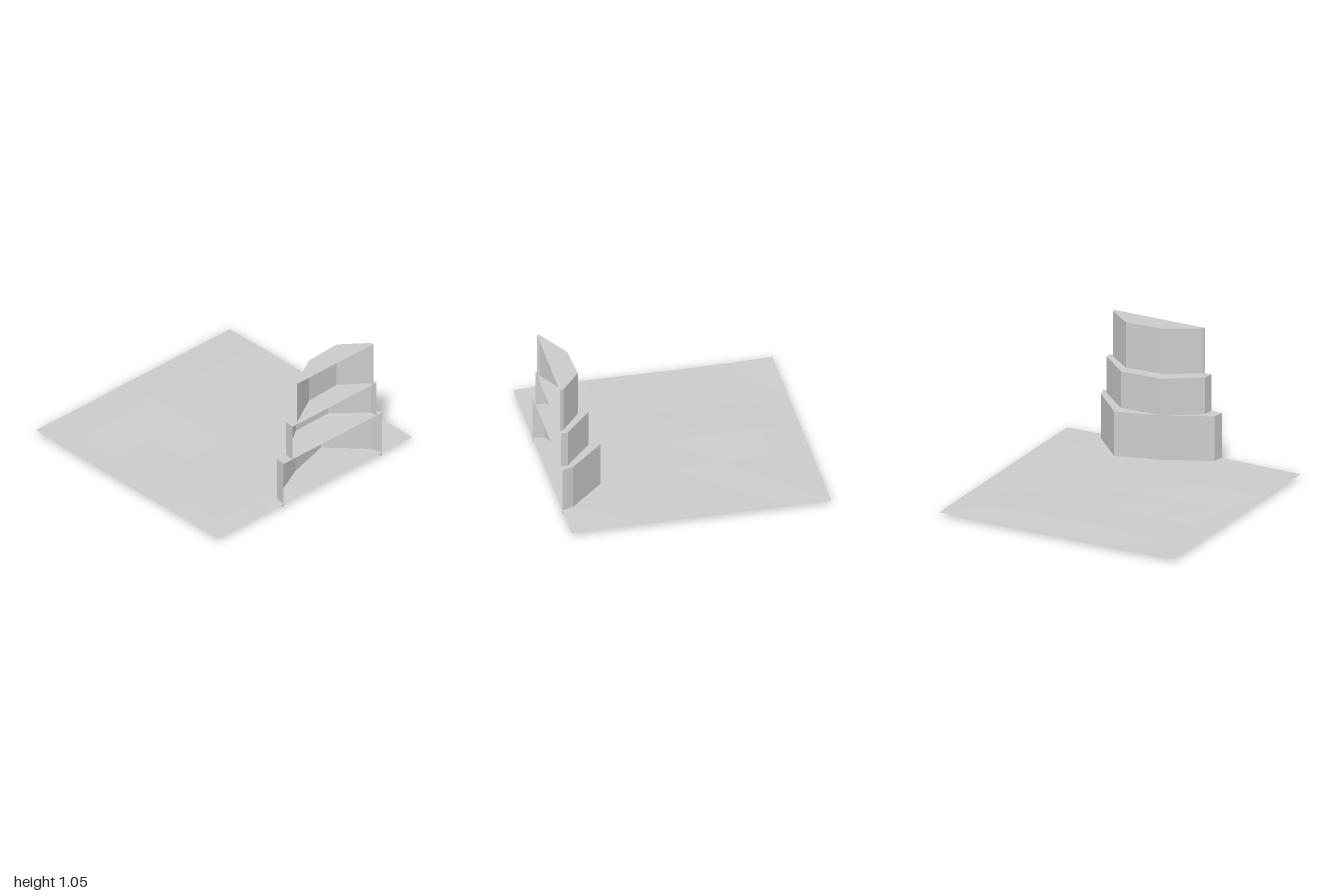
import * as THREE from 'three';

const stone = new THREE.MeshStandardMaterial({ color: 0xcccccc, flatShading: true, side: THREE.DoubleSide });
stone.name = 'pale grey stone';

function makeGeometry(positions, index) {
  const g = new THREE.BufferGeometry();
  g.setAttribute('position', new THREE.Float32BufferAttribute(positions, 3));
  g.setIndex(index);
  const flat = g.toNonIndexed();
  flat.computeVertexNormals();
  return flat;
}

function addMesh(parent, name, geometry) {
  const mesh = new THREE.Mesh(geometry, stone);
  mesh.name = name;
  parent.add(mesh);
  return mesh;
}

// Gently uneven ground sheet, heights in hundredths on a coarse grid
function groundGeometry() {
  const grid = [-1, -0.7, -0.32, 0.07, 0.45, 0.83, 1];
  const heights = [
    [3.0, 3.4, 3.3, 3.2, 3.4, 3.0, 3.0],
    [3.2, 4.0, 3.1, 3.1, 3.4, 3.6, 3.4],
    [3.2, 4.0, 3.6, 3.3, 3.5, 3.7, 3.5],
    [3.3, 4.3, 3.9, 3.3, 3.6, 3.8, 3.7],
    [2.9, 3.2, 2.9, 3.1, 3.6, 3.3, 3.2],
    [3.3, 2.8, 2.6, 3.0, 3.6, 3.2, 2.9],
    [3.5, 2.9, 2.6, 3.0, 3.4, 3.1, 2.8],
  ];
  const n = grid.length;
  const positions = [], index = [];
  grid.forEach((z, j) => grid.forEach((x, i) => positions.push(x, heights[j][i] / 100, z)));
  for (let j = 0; j < n - 1; j++) {
    for (let i = 0; i < n - 1; i++) {
      const a = j * n + i, b = a + n, c = b + 1, d = a + 1;
      index.push(a, b, c, a, c, d);
    }
  }
  return makeGeometry(positions, index);
}

// Thin wall following an outline, open along the cut side
function wallGeometry(outline, bottom, top) {
  const positions = [], index = [];
  outline.forEach(([x, z], i) => {
    positions.push(x, bottom, z, x, top, z);
    if (i > 0) {
      const a = 2 * i - 2, b = 2 * i;
      index.push(a, b, b + 1, a, b + 1, a + 1);
    }
  });
  return makeGeometry(positions, index);
}

function roofGeometry(outline, y) {
  const shape = new THREE.Shape(outline.map(([x, z]) => new THREE.Vector2(x, -z)));
  return new THREE.ShapeGeometry(shape).rotateX(-Math.PI / 2).translate(0, y, 0);
}

export function createModel() {
  const model = new THREE.Group();
  model.name = 'terrainWithTower';
  addMesh(model, 'ground', groundGeometry());

  // Stepped tower sliced by the edge of the ground; outlines are [x, z]
  const tiers = [
    { name: 'lowerTier', bottom: 0, top: 0.395,
      outline: [[1, -0.69], [0.91, -0.66], [0.64, -0.4], [0.74, -0.04], [0.91, 0.31], [1, 0.325]] },
    { name: 'middleTier', bottom: 0.395, top: 0.69,
      outline: [[1, -0.635], [0.945, -0.63], [0.73, -0.39], [0.735, -0.05], [0.92, 0.225], [1, 0.235]] },
    { name: 'upperTier', bottom: 0.69, top: 1.055,
      outline: [[1, -0.6], [0.97, -0.59], [0.815, -0.395], [0.83, -0.095], [0.98, 0.17], [1, 0.18]] },
  ];
  for (const { name, bottom, top, outline } of tiers) {
    const tier = new THREE.Group();
    tier.name = name;
    addMesh(tier, name + 'Wall', wallGeometry(outline, bottom, top));
    addMesh(tier, name + 'Roof', roofGeometry(outline, top));
    model.add(tier);
  }
  return model;
}
